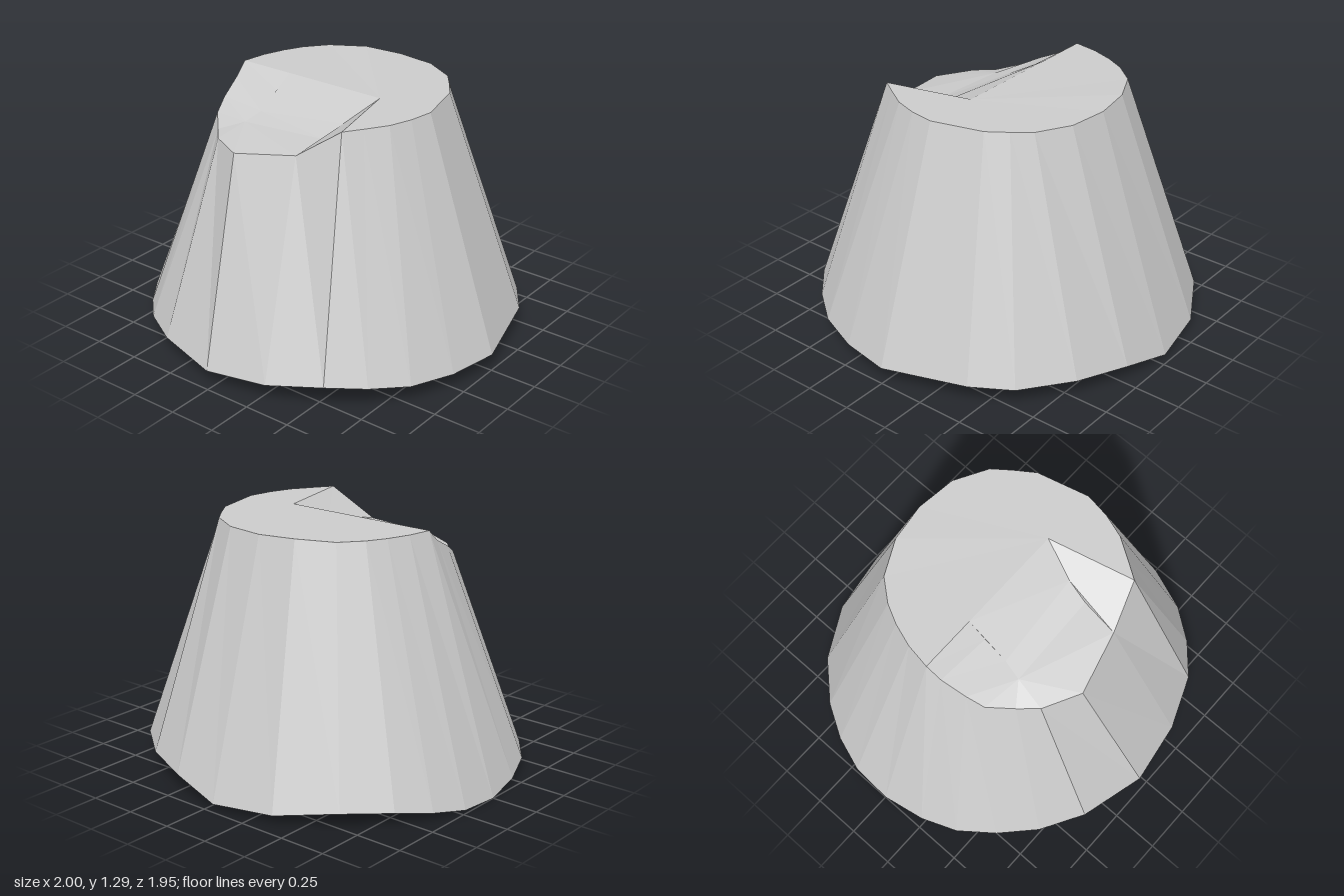
import * as THREE from 'three';

// One row per side edge, running from +x round the front: bottom x, y, z, then top x, y, z
const T = 1.285;
const EDGES = [
  [1, 0.09, 0, 0.59, T, 0],
  [0.95, 0.09, 0.27, 0.57, T, 0.13],
  [0.86, 0.1, 0.5, 0.53, T, 0.25],
  [0.73, 0.12, 0.67, 0.46, T, 0.36],
  [0.57, 0.135, 0.81, 0.4, T, 0.45],
  [0.3, 0.1, 0.92, 0.18, 1.13, 0.52],
  [-0.03, 0.08, 0.97, -0.14, 1.085, 0.6],
  [-0.38, 0.1, 0.88, -0.33, 1.08, 0.5],
  [-0.6, 0.09, 0.75, -0.41, 1.08, 0.41],
  [-0.76, 0.06, 0.59, -0.51, 1.11, 0.3],
  [-0.89, 0.05, 0.42, -0.54, 1.16, 0.21],
  [-0.96, 0.02, 0.23, -0.57, 1.22, 0.08],
  [-1, 0, 0, -0.58, T, 0],
  [-0.99, 0.01, -0.22, -0.56, T, -0.13],
  [-0.93, 0.04, -0.4, -0.52, T, -0.25],
  [-0.83, 0.07, -0.57, -0.47, T, -0.35],
  [-0.65, 0.08, -0.76, -0.38, T, -0.46],
  [-0.37, 0.045, -0.92, -0.2, 1.29, -0.55],
  [-0.04, 0.03, -0.98, 0, T, -0.58],
  [0.24, 0.095, -0.94, 0.21, T, -0.555],
  [0.51, 0.11, -0.83, 0.38, T, -0.46],
  [0.75, 0.105, -0.64, 0.45, T, -0.37],
  [0.88, 0.115, -0.45, 0.52, T, -0.27],
];

// Fans each polygon (corners anticlockwise from outside) into flat triangles
function polygonMesh(name, polygons, material) {
  const points = [];
  for (const p of polygons) {
    for (let i = 1; i < p.length - 1; i++) points.push(p[0], p[i], p[i + 1]);
  }
  const geometry = new THREE.BufferGeometry();
  geometry.setAttribute('position', new THREE.Float32BufferAttribute(points.flat(), 3));
  geometry.computeVertexNormals();
  const mesh = new THREE.Mesh(geometry, material);
  mesh.name = name;
  return mesh;
}

export function createModel() {
  const group = new THREE.Group();
  group.name = 'stump';
  const material = new THREE.MeshStandardMaterial({ color: 0xcccccc, flatShading: true });
  const bottom = EDGES.map((e) => e.slice(0, 3));
  const top = EDGES.map((e) => e.slice(3));
  const n = EDGES.length;

  // Flared faceted sides and the uneven underside
  const sides = [];
  const underside = [];
  for (let i = 0; i < n; i++) {
    const j = (i + 1) % n;
    sides.push([bottom[i], top[i], top[j], bottom[j]]);
    underside.push([[0, 0.08, 0], bottom[i], bottom[j]]);
  }
  group.add(polygonMesh('sides', sides, material));
  group.add(polygonMesh('underside', underside, material));

  // Inner corners of the notch, from the cut line at z = 0 towards the front
  const cutLeft = [-0.28, T, 0];
  const cutRight = [0.29, T, 0];
  const upper = [-0.28, 1.22, 0.1];
  const middle = [-0.28, 1.15, 0.23];
  const lower = [-0.3, 1.12, 0.33];
  const wallTop = [0.22, 1.2, 0.2];
  const wallFoot = [0.2, 1.15, 0.32];

  // Level top: the back half and the remaining front corner
  const backRim = top.slice(12).reverse();
  group.add(polygonMesh('flatTop', [
    [cutRight, top[0], ...backRim],
    [cutRight, top[4], top[3], top[2], top[1], top[0]],
  ], material));

  // Chipped notch sloping down to the front rim
  group.add(polygonMesh('notch', [
    [top[12], top[11], upper, cutLeft],
    [top[11], top[10], middle, upper],
    [cutLeft, upper, middle, wallTop, cutRight],
    [top[10], top[9], lower, middle],
    [middle, lower, wallFoot, wallTop],
    [lower, top[9], top[8], top[7], top[6], top[5], wallFoot],
    [wallTop, wallFoot, top[5], top[4]],
    [cutRight, wallTop, top[4]],
  ], material));

  return group;
}
